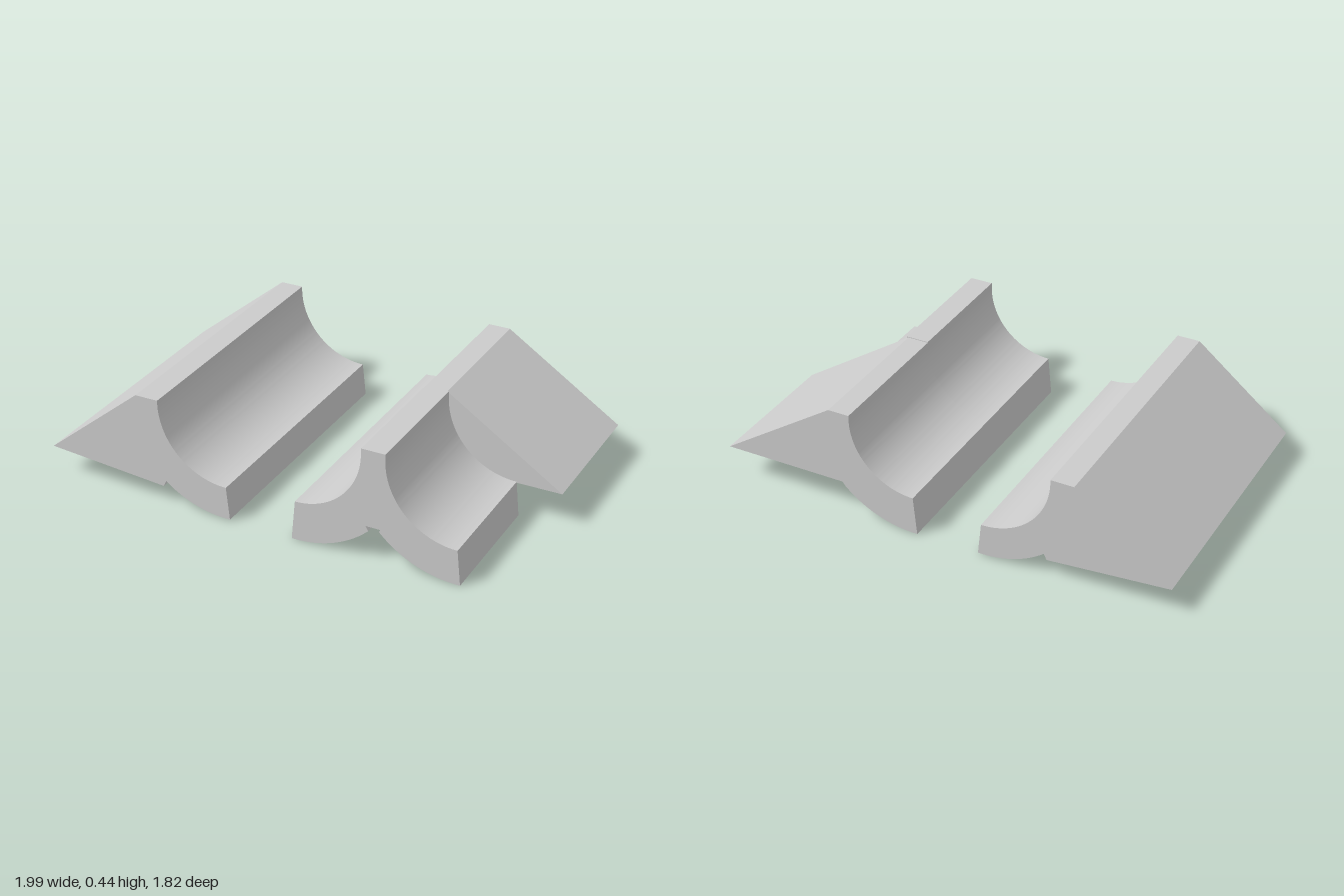
import * as THREE from 'three';
import { toCreasedNormals } from 'three/addons/utils/BufferGeometryUtils.js';

const PI = Math.PI;
const BACK = -0.52, FRONT = 0.578, STEP = 0.058;

// Sweep a cross-section along the channel direction
function sweep(name, shape, z0, z1) {
  const geo = new THREE.ExtrudeGeometry(shape, { depth: z1 - z0, bevelEnabled: false, curveSegments: 24 });
  geo.translate(0, 0, z0);
  const mesh = new THREE.Mesh(toCreasedNormals(geo, 0.5), new THREE.MeshStandardMaterial({ color: 0xcccccc }));
  mesh.name = name;
  return mesh;
}

// Channel wall opening to the right: inner arc, slightly flared lip, outer arc
function channelToRight(s, cx, cy, rIn, rOut, endAngle) {
  s.absarc(cx, cy, rIn, PI, 1.5 * PI, false);
  s.lineTo(cx + 0.014, cy - rOut);
  s.absarc(cx, cy, rOut, 1.5 * PI, endAngle, true);
}

// Channel wall opening to the left, walked from the ridge side
function channelToLeft(s, cx, cy, rIn, rOut, endAngle) {
  s.absarc(cx, cy, rOut, endAngle, 1.5 * PI, true);
  s.lineTo(cx - 0.014, cy - rOut);
  s.lineTo(cx, cy - rIn);
  s.absarc(cx, cy, rIn, 1.5 * PI, 2 * PI, false);
}

// Left block: long ramp, narrow ridge, quarter channel
function rampBlock() {
  const s = new THREE.Shape();
  s.moveTo(-0.37, 0.073);
  s.lineTo(-0.855, 0.115);
  s.lineTo(-0.474, 0.425);
  s.lineTo(-0.382, 0.425);
  channelToRight(s, -0.105, 0.415, 0.277, 0.407, PI + 0.812);
  s.closePath();
  return sweep('rampBlock', s, BACK, FRONT);
}

// Front of the right block: a quarter channel on each side of the ridge
function doubleChannel() {
  const s = new THREE.Shape();
  s.moveTo(0.515, 0.14);
  channelToRight(s, 0.808, 0.42, 0.279, 0.418, PI + 0.75);
  s.lineTo(0.515, 0.14);
  s.lineTo(0.455, 0.14);
  channelToLeft(s, 0.178, 0.42, 0.279, 0.418, 2 * PI - 0.75);
  s.closePath();
  return s;
}

function doubleChannelBlock() {
  const s = new THREE.Shape();
  s.moveTo(0.437, 0.445);
  s.lineTo(0.53, 0.445);
  channelToRight(s, 0.808, 0.42, 0.278, 0.416, PI + 0.77);
  s.lineTo(0.515, 0.14);
  s.lineTo(0.457, 0.14);
  channelToLeft(s, 0.178, 0.42, 0.259, 0.416, 2 * PI - 0.8);
  s.closePath();
  return sweep('doubleChannelBlock', s, STEP, FRONT);
}

// Back of the right block: the same left channel with a ramp behind it
function channelRampBlock() {
  const s = new THREE.Shape();
  s.moveTo(0.437, 0.442);
  s.lineTo(0.523, 0.442);
  s.lineTo(0.985, 0.138);
  s.lineTo(0.48, 0.138);
  channelToLeft(s, 0.178, 0.42, 0.259, 0.416, 2 * PI - 0.8);
  s.closePath();
  return sweep('channelRampBlock', s, BACK, STEP);
}

export function createModel() {
  const model = new THREE.Group();
  model.name = 'channelBlocks';
  const blocks = new THREE.Group();
  blocks.name = 'blocks';
  blocks.add(rampBlock(), doubleChannelBlock(), channelRampBlock());
  // Both blocks lie turned on the ground
  blocks.rotation.y = 0.477;
  model.add(blocks);
  return model;
}
